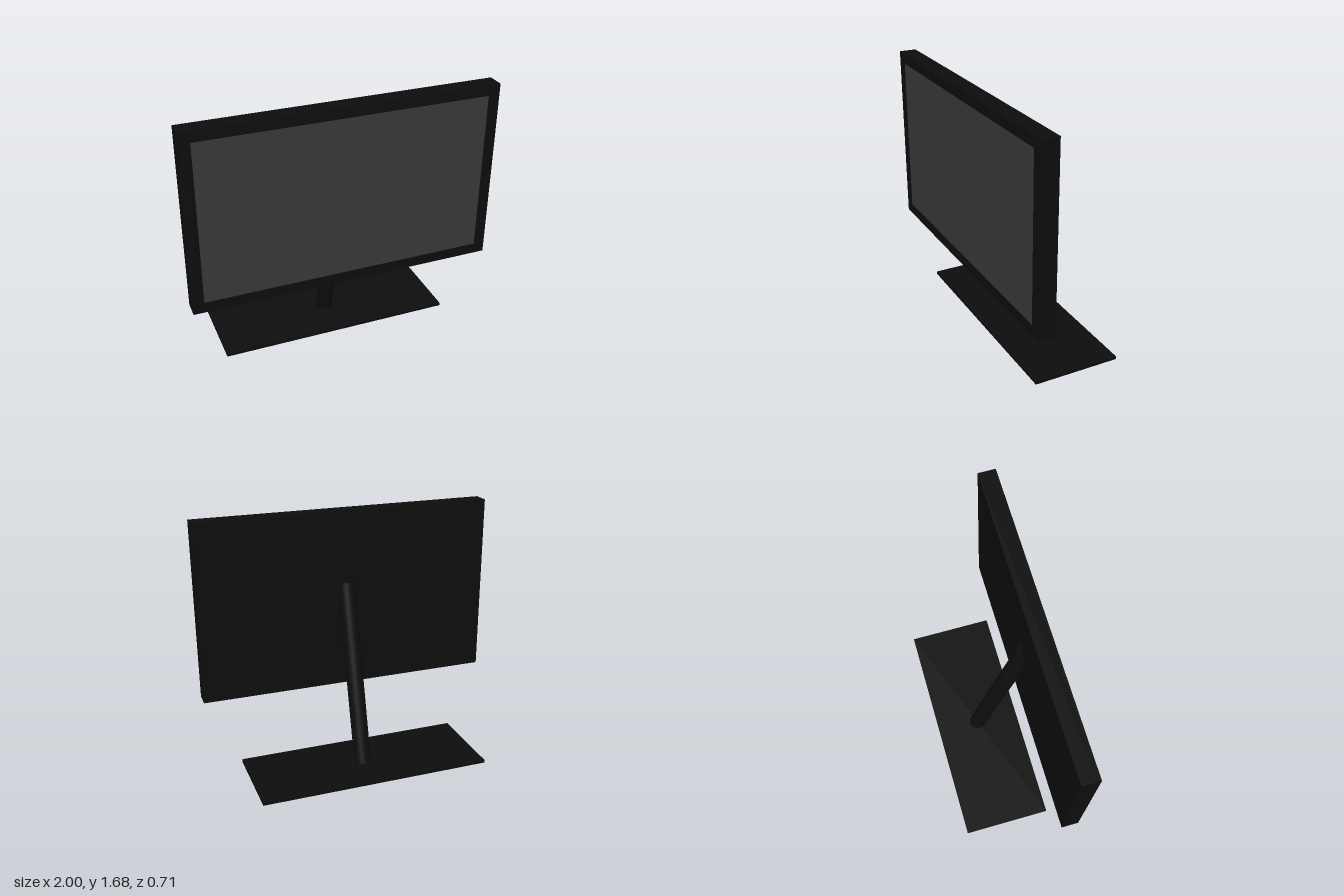
import * as THREE from 'three';

const bodyMaterial = new THREE.MeshStandardMaterial({ color: 0x0d0d0d });
const screenMaterial = new THREE.MeshStandardMaterial({ color: 0x383838 });

function addPart(group, name, geometry, material, x = 0, y = 0, z = 0) {
  const mesh = new THREE.Mesh(geometry, material);
  mesh.name = name;
  mesh.position.set(x, y, z);
  group.add(mesh);
}

function rectangle(PathType, w, h) {
  const p = new PathType();
  p.moveTo(-w / 2, -h / 2);
  p.lineTo(w / 2, -h / 2);
  p.lineTo(w / 2, h / 2);
  p.lineTo(-w / 2, h / 2);
  p.closePath();
  return p;
}

// Round arm leaning forward, its foot cut level with the base
function armGeometry(foot, top, radius) {
  const axis = top.clone().sub(foot);
  const length = axis.length();
  axis.normalize();
  const geometry = new THREE.CylinderGeometry(radius, radius, length, 32);
  geometry.translate(0, length / 2, 0);
  geometry.rotateX(Math.atan2(axis.z, axis.y));
  geometry.translate(foot.x, foot.y, foot.z);
  const pos = geometry.attributes.position;
  const v = new THREE.Vector3();
  for (let i = 0; i < pos.count; i++) {
    v.fromBufferAttribute(pos, i);
    if (v.y > 0.5) continue;
    v.addScaledVector(axis, (foot.y - v.y) / axis.y);
    pos.setXYZ(i, v.x, v.y, v.z);
  }
  return geometry;
}

export function createModel() {
  const model = new THREE.Group();
  model.name = 'monitor';

  const width = 2, height = 1.204, midY = 1.083;
  const backZ = 0.239, frontZ = 0.353, lip = 0.02;
  const screenW = 1.856, screenH = 1.066;

  // Housing behind the bezel
  const depth = frontZ - backZ - lip;
  addPart(model, 'housing', new THREE.BoxGeometry(width, height, depth), bodyMaterial, 0, midY, backZ + depth / 2);

  // Bezel around the screen
  const frame = rectangle(THREE.Shape, width, height);
  frame.holes.push(rectangle(THREE.Path, screenW, screenH));
  const bezel = new THREE.ExtrudeGeometry(frame, { depth: lip, bevelEnabled: false });
  addPart(model, 'bezel', bezel, bodyMaterial, 0, midY, frontZ - lip);

  // Screen, set just behind the bezel face
  const glass = lip - 0.004;
  addPart(model, 'screen', new THREE.BoxGeometry(screenW, screenH, glass), screenMaterial, 0, midY, frontZ - lip + glass / 2);

  // Stand
  const foot = new THREE.Vector3(-0.002, 0.012, -0.06);
  const top = new THREE.Vector3(-0.002, 1.196, 0.258);
  addPart(model, 'standArm', armGeometry(foot, top, 0.057), bodyMaterial);
  addPart(model, 'base', new THREE.BoxGeometry(1.556, 0.02, 0.585), bodyMaterial, -0.007, 0.01, -0.06);

  return model;
}
